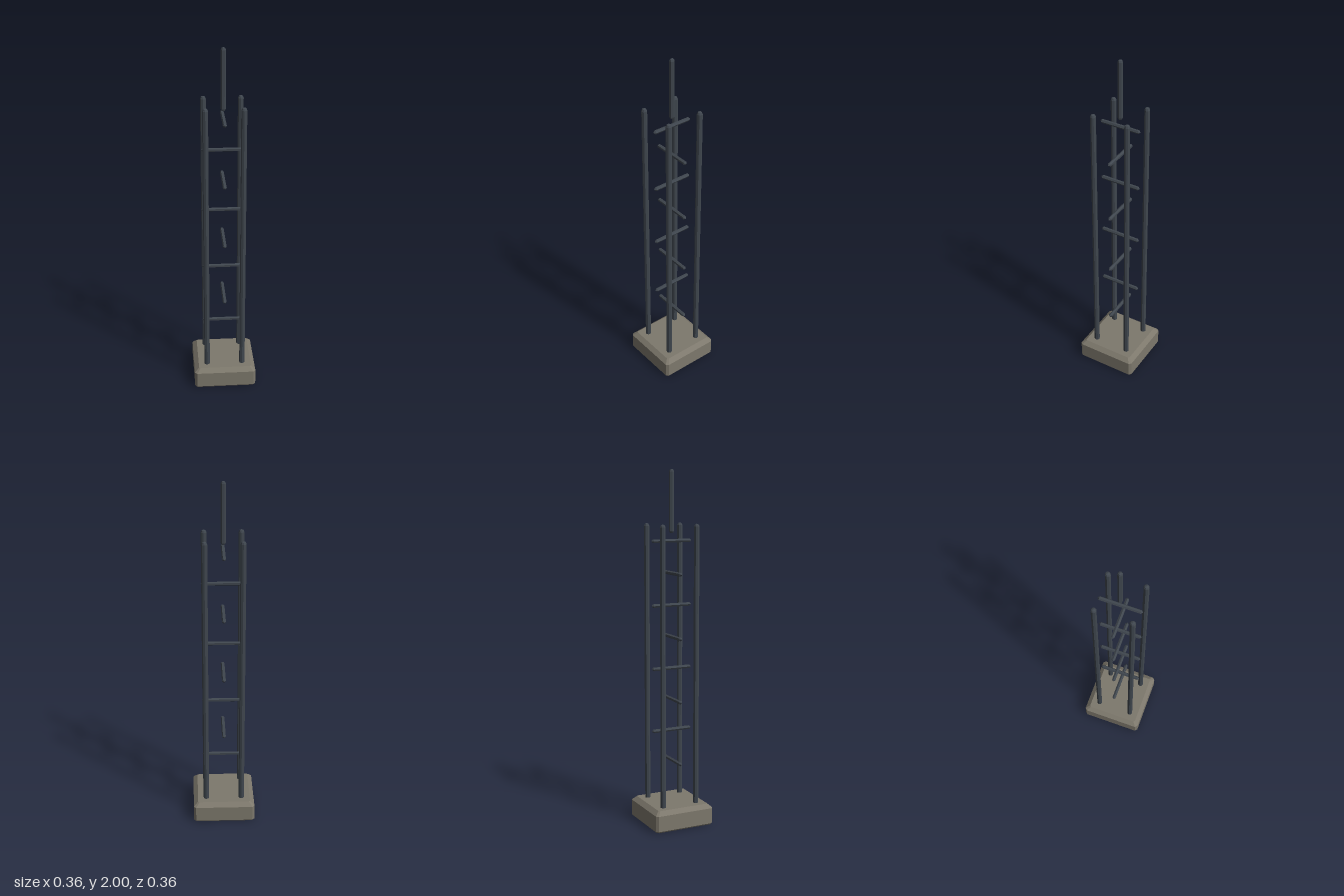
import * as THREE from 'three';

const stone = new THREE.MeshStandardMaterial({ color: 0x7d786c, flatShading: true });
const iron = new THREE.MeshStandardMaterial({ color: 0x3f464e, flatShading: true });

// Square ring of 8 points with cut corners
function ring(half, cut, y) {
  const a = half, b = half - cut;
  return [[a, b], [b, a], [-b, a], [-a, b], [-a, -b], [-b, -a], [b, -a], [a, -b]]
    .map(([x, z]) => [x, y, z]);
}

// Solid block lofted through rings from bottom to top, capped at both ends
function loft(rings) {
  const n = rings[0].length;
  const index = [];
  for (let r = 0; r < rings.length - 1; r++) {
    for (let i = 0; i < n; i++) {
      const a = r * n + i, b = r * n + (i + 1) % n;
      index.push(a, a + n, b, b, a + n, b + n);
    }
  }
  const top = (rings.length - 1) * n;
  for (let i = 1; i < n - 1; i++) {
    index.push(0, i, i + 1, top, top + i + 1, top + i);
  }
  const geometry = new THREE.BufferGeometry();
  geometry.setAttribute('position', new THREE.Float32BufferAttribute(rings.flat(2), 3));
  geometry.setIndex(index);
  const flat = geometry.toNonIndexed();
  flat.computeVertexNormals();
  return flat;
}

// Upright rod with tapered ends, spanning y0 to y1
function rod(name, radius, y0, y1, capSegments, sides) {
  const geometry = new THREE.CapsuleGeometry(radius, y1 - y0 - 2 * radius, capSegments, sides);
  const mesh = new THREE.Mesh(geometry, iron);
  mesh.name = name;
  mesh.position.y = (y0 + y1) / 2;
  return mesh;
}

export function createModel() {
  const model = new THREE.Group();
  model.name = 'latticeMast';

  // Footing with bevelled top
  const base = new THREE.Mesh(loft([
    ring(0.172, 0.01, 0),
    ring(0.178, 0.013, 0.008),
    ring(0.178, 0.013, 0.097),
    ring(0.153, 0.008, 0.12),
  ]), stone);
  base.name = 'base';
  model.add(base);

  // Corner posts
  for (const x of [-1, 1]) {
    for (const z of [-1, 1]) {
      const post = rod('cornerPost', 0.016, 0.09, 1.705, 2, 8);
      post.position.x = x * 0.103;
      post.position.z = z * 0.103;
      model.add(post);
    }
  }

  // Rungs, alternating between the x and z directions
  for (let i = 0; i < 8; i++) {
    const rung = rod('rung', 0.011, -0.123, 0.123, 1, 6);
    rung.position.y = 0.36 + i * 0.1785;
    if (i % 2) rung.rotation.x = Math.PI / 2;
    else rung.rotation.z = Math.PI / 2;
    model.add(rung);
  }

  // Antenna rod at the top
  model.add(rod('antenna', 0.014, 1.65, 2, 2, 6));

  return model;
}
